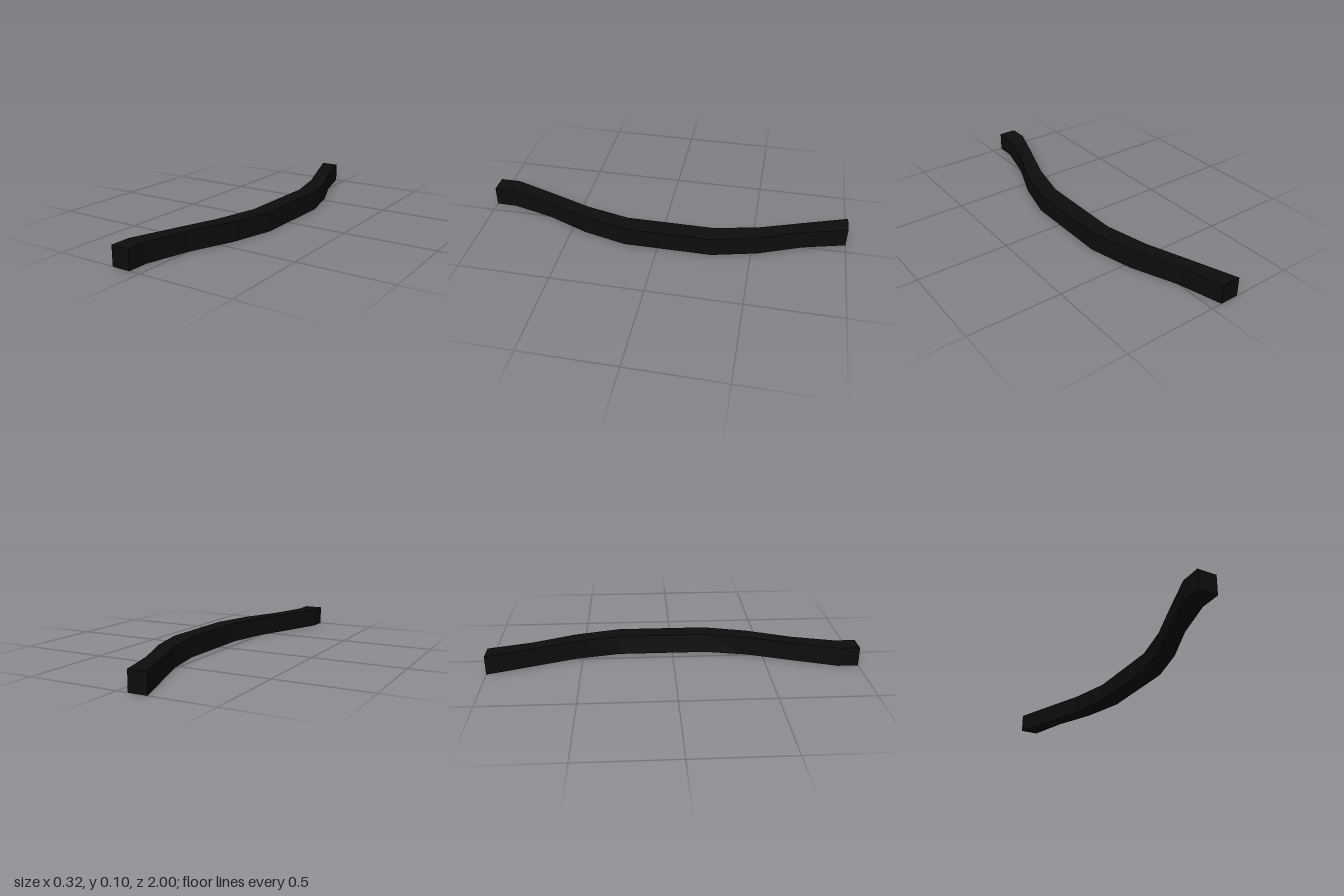
import * as THREE from 'three';

// [z, inner x, outer x] stations along the curved bar
const STATIONS = [
  [-1, -0.162, -0.06], [-0.77, -0.08, 0.003], [-0.535, 0.005, 0.1], [-0.295, 0.06, 0.16],
  [0.185, 0.06, 0.16], [0.42, 0.005, 0.1], [0.655, -0.08, 0.003], [0.89, -0.162, -0.06], [1, -0.162, -0.06],
];
const HEIGHT = 0.105;

export function createModel() {
  const group = new THREE.Group();
  group.name = 'curvedBar';
  const black = new THREE.MeshStandardMaterial({ color: 0x0d0d0d });
  black.name = 'black';

  // Plan outline: up the inner edge, back along the outer edge
  const inner = STATIONS.map(([z, x]) => new THREE.Vector2(x, -z));
  const outer = STATIONS.map(([z, , x]) => new THREE.Vector2(x, -z)).reverse();
  const geometry = new THREE.ExtrudeGeometry(new THREE.Shape([...inner, ...outer]), {
    depth: HEIGHT, bevelEnabled: false,
  });
  geometry.rotateX(-Math.PI / 2);

  // Slight outward lean at the foot of the inner middle wall
  const p = geometry.attributes.position;
  for (let i = 0; i < p.count; i++) {
    if (p.getY(i) < 0.01 && Math.abs(p.getX(i) - 0.06) < 0.005) p.setX(i, 0.053);
  }
  geometry.computeVertexNormals();

  const bar = new THREE.Mesh(geometry, black);
  bar.name = 'bar';
  group.add(bar);
  return group;
}
